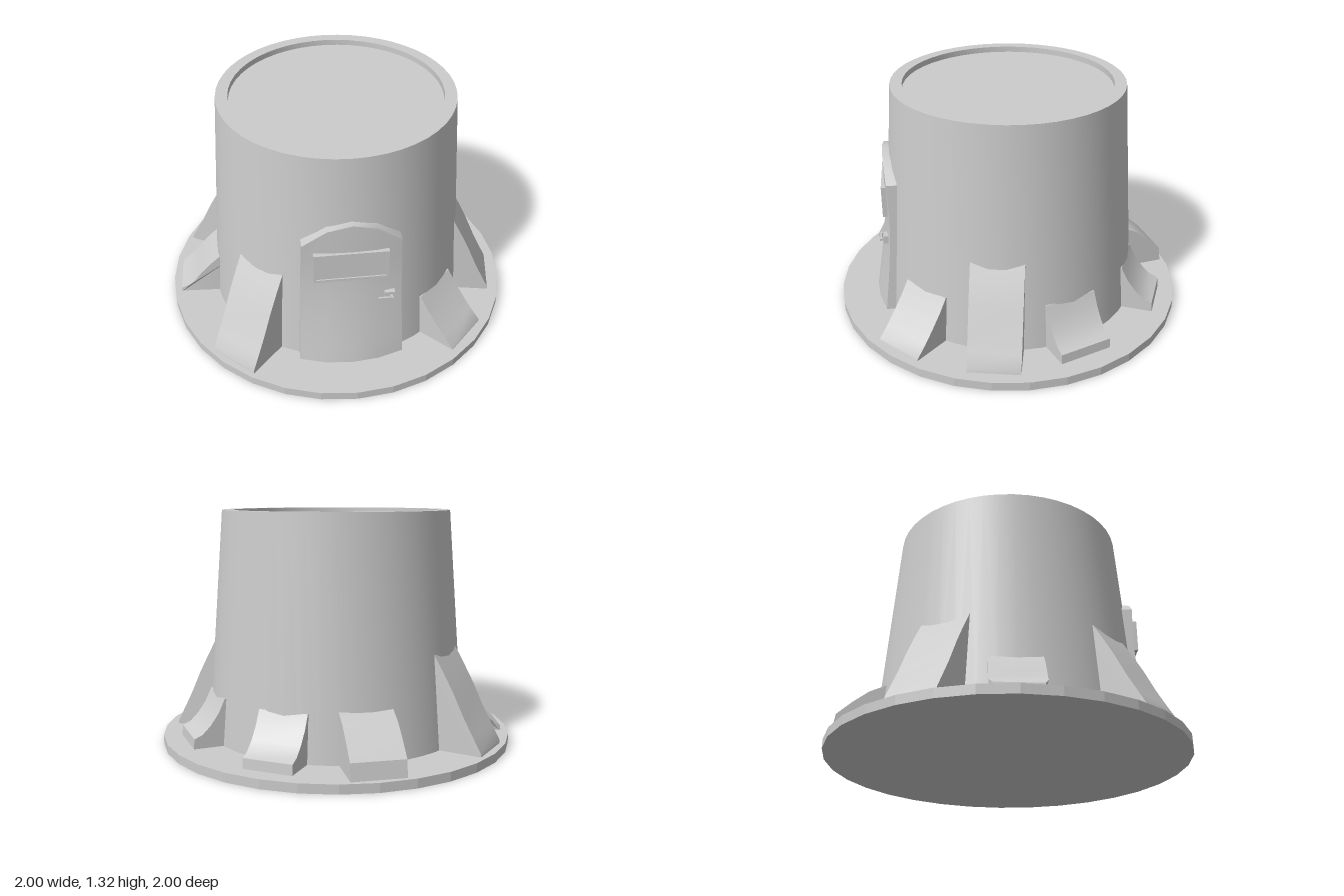
import * as THREE from 'three';
import { toCreasedNormals } from 'three/addons/utils/BufferGeometryUtils.js';

const mat = new THREE.MeshStandardMaterial({ color: 0xcccccc });
const lerp = THREE.MathUtils.lerp;

function add(parent, name, geometry, x = 0, y = 0, z = 0) {
  const mesh = new THREE.Mesh(geometry, mat);
  mesh.name = name;
  mesh.position.set(x, y, z);
  parent.add(mesh);
  return mesh;
}

const box = (w, h, d) => new THREE.BoxGeometry(w, h, d);

// Root outlines: [radius, height] from the trunk down to the ground
const TALL = [[0.685, 0.565], [0.735, 0.475], [0.79, 0.37], [0.85, 0.24], [0.9, 0.145], [0.94, 0.07], [0.945, 0.04]];
const SLOPE = [[0.71, 0.32], [0.76, 0.25], [0.82, 0.18], [0.88, 0.115], [0.94, 0.06], [0.945, 0.04]];
const HUMP = [[0.7, 0.325], [0.79, 0.28], [0.87, 0.215], [0.95, 0.14], [0.965, 0.04]];
const STEP = [[0.71, 0.31], [0.745, 0.235], [0.79, 0.17], [0.835, 0.125], [0.88, 0.105], [0.885, 0.04]];
const TOE = [[0.7, 0.32], [0.76, 0.265], [0.82, 0.2], [0.87, 0.135], [0.9, 0.11], [0.95, 0.075], [0.955, 0.04]];

// Angle in degrees from +x towards +z
const ROOTS = [
  { angle: 45, outline: SLOPE, width: 0.285 },
  { angle: 11, outline: TALL, width: 0.285, reach: 0.93 },
  { angle: -21.5, outline: STEP, width: 0.3 },
  { angle: -67, outline: STEP, width: 0.275, reach: 0.9 },
  { angle: -101.7, outline: HUMP, width: 0.285 },
  { angle: -149, outline: TALL, width: 0.29, reach: 0.96 },
  { angle: 180, outline: TOE, width: 0.275, taper: true },
  { angle: 132.5, outline: TALL, width: 0.29, reach: 0.965 },
];

function rootGeometry({ outline, width, reach, taper }) {
  const start = outline[0][0];
  const end = outline[outline.length - 1][0];
  const stretch = reach ? (reach - start) / (end - start) : 1;
  const pts = outline.map(([r, y]) => new THREE.Vector2(start + (r - start) * stretch, y));
  pts.push(new THREE.Vector2(0.6, 0.04), new THREE.Vector2(0.6, outline[0][1]));
  const geo = new THREE.ExtrudeGeometry(new THREE.Shape(pts), { depth: width, bevelEnabled: false });
  geo.translate(0, 0, -width / 2);
  if (taper) {
    // narrow the toe at its outer end
    const p = geo.attributes.position;
    for (let i = 0; i < p.count; i++) if (p.getX(i) > 0.93) p.setZ(i, p.getZ(i) * 0.86);
  }
  return toCreasedNormals(geo, 0.6);
}

// Bowed door slab with an arched top, leaning with the trunk
const DOOR_Z = [[0.05, 0.79], [0.3, 0.748], [0.5, 0.722], [0.65, 0.709], [0.96, 0.708]];
function doorCentreZ(y) {
  let i = 0;
  while (i < DOOR_Z.length - 2 && y > DOOR_Z[i + 1][0]) i++;
  const [y0, z0] = DOOR_Z[i], [y1, z1] = DOOR_Z[i + 1];
  return lerp(z0, z1, (y - y0) / (y1 - y0));
}
function doorGeometry() {
  const geo = new THREE.BoxGeometry(2, 1, 1, 4, 8, 1);
  const p = geo.attributes.position;
  for (let i = 0; i < p.count; i++) {
    const u = p.getX(i), v = p.getY(i) + 0.5;
    const y = lerp(0.045, 0.955 - 0.125 * u * u, v);
    const t = Math.min(1, (y - 0.045) / 0.785);
    const front = doorCentreZ(Math.max(y, 0.05)) - lerp(0.055, 0.02, t) * u * u;
    const z = p.getZ(i) > 0 ? front : lerp(0.68, 0.66, t) - 0.03 * u * u;
    p.setXYZ(i, u * lerp(0.285, 0.257, t), y, z);
  }
  return toCreasedNormals(geo, 0.6);
}

export function createModel() {
  const model = new THREE.Group();
  model.name = 'stumpHouse';

  // Ground disc
  add(model, 'base', toCreasedNormals(new THREE.CylinderGeometry(1, 1, 0.05, 32), 0.1), 0, 0.025, 0);

  // Trunk wall, rim and sunken top in one turned profile
  const profile = [[0.738, 0.045], [0.643, 1.315], [0.577, 1.315], [0.577, 1.283], [0, 1.283]]
    .map(([r, y]) => new THREE.Vector2(r, y));
  add(model, 'trunk', toCreasedNormals(new THREE.LatheGeometry(profile, 48), 0.6));

  // Roots around the trunk
  const roots = new THREE.Group();
  roots.name = 'roots';
  model.add(roots);
  for (const spec of ROOTS) {
    add(roots, 'root', rootGeometry(spec)).rotation.y = -THREE.MathUtils.degToRad(spec.angle);
  }

  // Door with framed window and handle
  const door = new THREE.Group();
  door.name = 'door';
  model.add(door);
  add(door, 'doorPanel', doorGeometry());

  const frame = new THREE.Shape([[-0.195, -0.09], [0.195, -0.09], [0.195, 0.09], [-0.195, 0.09]]
    .map(([x, y]) => new THREE.Vector2(x, y)));
  frame.holes.push(new THREE.Path([[-0.182, -0.075], [-0.182, 0.075], [0.182, 0.075], [0.182, -0.075]]
    .map(([x, y]) => new THREE.Vector2(x, y))));
  add(door, 'windowFrame', new THREE.ExtrudeGeometry(frame, { depth: 0.04, bevelEnabled: false }), -0.005, 0.695, 0.681);
  add(door, 'windowPane', box(0.364, 0.15, 0.03), -0.005, 0.695, 0.699);

  add(door, 'handlePlate', box(0.055, 0.045, 0.03), 0.2, 0.477, 0.71);
  add(door, 'handleStem', box(0.014, 0.014, 0.04), 0.208, 0.474, 0.72);
  add(door, 'handleLever', box(0.08, 0.012, 0.01), 0.178, 0.474, 0.74);

  return model;
}
